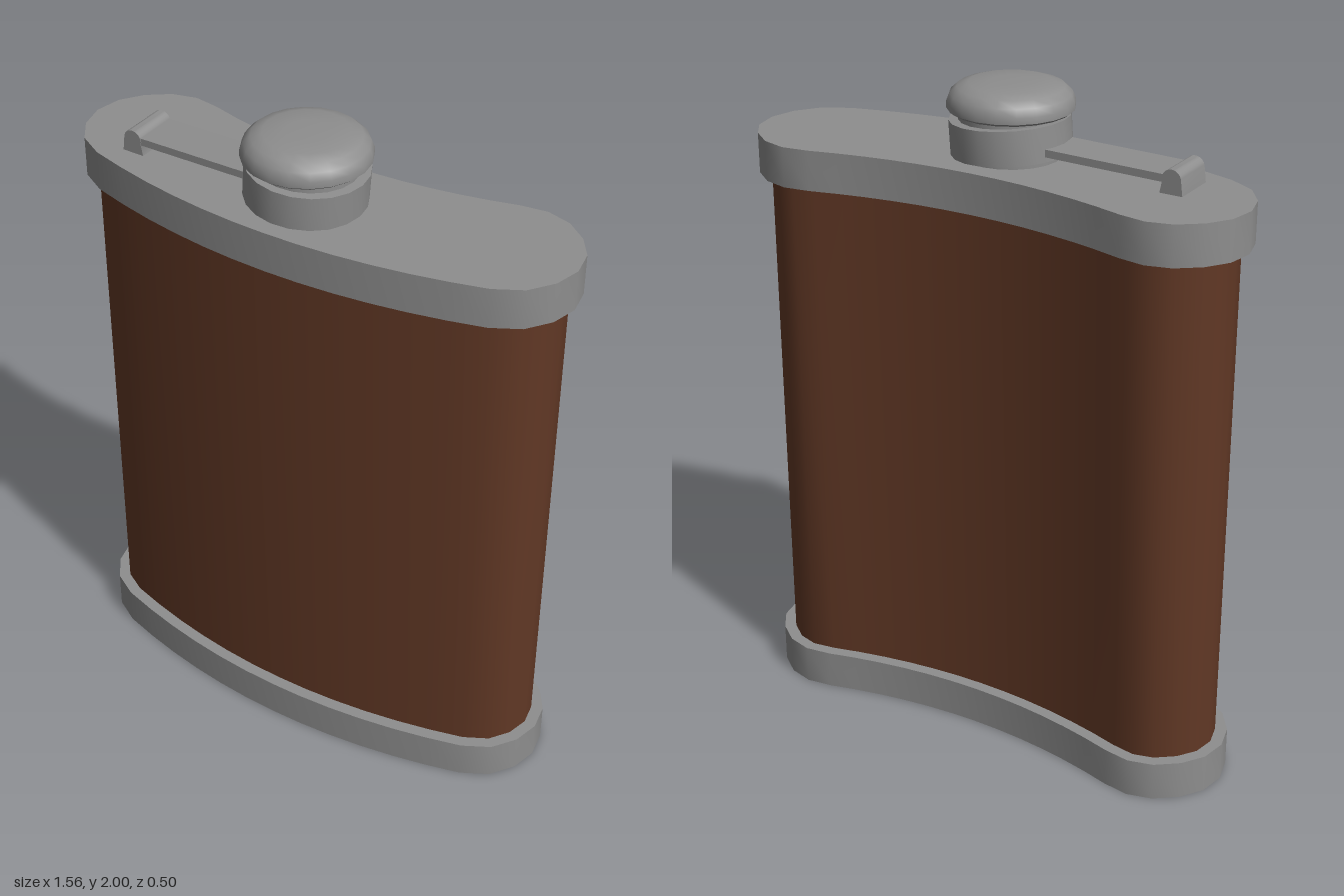
import * as THREE from 'three';
import { toCreasedNormals } from 'three/addons/utils/BufferGeometryUtils.js';

const steel = new THREE.MeshStandardMaterial({ color: 0x8e8e8e });
steel.name = 'steel';
const leather = new THREE.MeshStandardMaterial({ color: 0x613825 });
leather.name = 'brown leather';

// Half of the kidney-shaped footprint as (x, z), front centre round to back centre
function footprint() {
  const half = [];
  for (let i = 0; i <= 6; i++) {
    const x = 0.63 * i / 6;
    half.push([x, 0.25 - 0.24 * x * x]);
  }
  half.push([0.71, 0.11], [0.76, 0.04], [0.78, -0.04], [0.765, -0.12],
    [0.72, -0.185], [0.655, -0.235], [0.58, -0.255]);
  for (let i = 6; i >= 0; i--) {
    const x = 0.5 * i / 6;
    half.push([x, -0.17 - 0.292 * x * x]);
  }
  const mirrored = half.slice(1, -1).reverse().map(([x, z]) => [-x, z]);
  // Shape y is -z, so that the extrusion can be turned upright
  return half.concat(mirrored).map(([x, z]) => new THREE.Vector2(x, -z));
}

// Move every corner inwards along its normal
function inset(points, d) {
  const n = points.length;
  return points.map((p, i) => {
    const t = points[(i + 1) % n].clone().sub(points[(i + n - 1) % n]).normalize();
    return new THREE.Vector2(p.x - t.y * d, p.y + t.x * d);
  });
}

function upright(name, points, y, height, material) {
  const geo = new THREE.ExtrudeGeometry(new THREE.Shape(points),
    { depth: height, bevelEnabled: false });
  geo.rotateX(-Math.PI / 2);
  const mesh = new THREE.Mesh(toCreasedNormals(geo, 0.75), material);
  mesh.name = name;
  mesh.position.y = y;
  return mesh;
}

function turned(name, profile, sides) {
  const geo = new THREE.LatheGeometry(profile.map(([r, y]) => new THREE.Vector2(r, y)), sides);
  const mesh = new THREE.Mesh(toCreasedNormals(geo, 0.75), steel);
  mesh.name = name;
  return mesh;
}

export function createModel() {
  const flask = new THREE.Group();
  flask.name = 'hipFlask';
  const outline = footprint();

  // Curved body between two overhanging end bands
  flask.add(upright('leatherBody', inset(outline, 0.036), 0.1, 1.59, leather));
  flask.add(upright('bottomBand', outline, 0, 0.12, steel));
  flask.add(upright('topBand', outline, 1.67, 0.12, steel));

  // Neck and domed screw cap
  const neck = turned('neck', [[0.148, 1.78], [0.148, 1.93]], 20);
  const cap = turned('cap', [[0, 1.92], [0.172, 1.92], [0.181, 1.927], [0.181, 1.945],
    [0.172, 1.968], [0.152, 1.986], [0.12, 1.996], [0.06, 1.999], [0, 2]], 20);
  // Retaining collar, slightly tilted
  const collar = turned('collar', [[0.145, -0.05], [0.173, -0.05], [0.173, 0.05],
    [0.145, 0.05]], 20);
  collar.position.y = 1.85;
  collar.rotation.z = -0.07;

  const stopper = new THREE.Group();
  stopper.name = 'stopper';
  stopper.position.z = 0.04;
  stopper.add(neck, cap, collar);
  flask.add(stopper);

  // Flat retaining arm
  const arm = new THREE.Mesh(new THREE.BoxGeometry(0.38, 0.022, 0.136), steel);
  arm.name = 'retainingArm';
  arm.position.set(-0.345, 1.834, 0.031);
  arm.rotation.z = 0.015;
  flask.add(arm);

  // Hinge block with a rounded top
  const hingeShape = new THREE.Shape();
  hingeShape.moveTo(-0.035, -0.005);
  hingeShape.lineTo(0.035, -0.005);
  hingeShape.lineTo(0.027, 0.035);
  hingeShape.absarc(0, 0.041, 0.029, 0, Math.PI, false);
  hingeShape.closePath();
  const hingeGeo = new THREE.ExtrudeGeometry(hingeShape,
    { depth: 0.14, bevelEnabled: false, curveSegments: 6 });
  const hinge = new THREE.Mesh(toCreasedNormals(hingeGeo, 0.6), steel);
  hinge.name = 'hinge';
  hinge.position.set(-0.543, 1.79, -0.039);
  flask.add(hinge);

  return flask;
}
